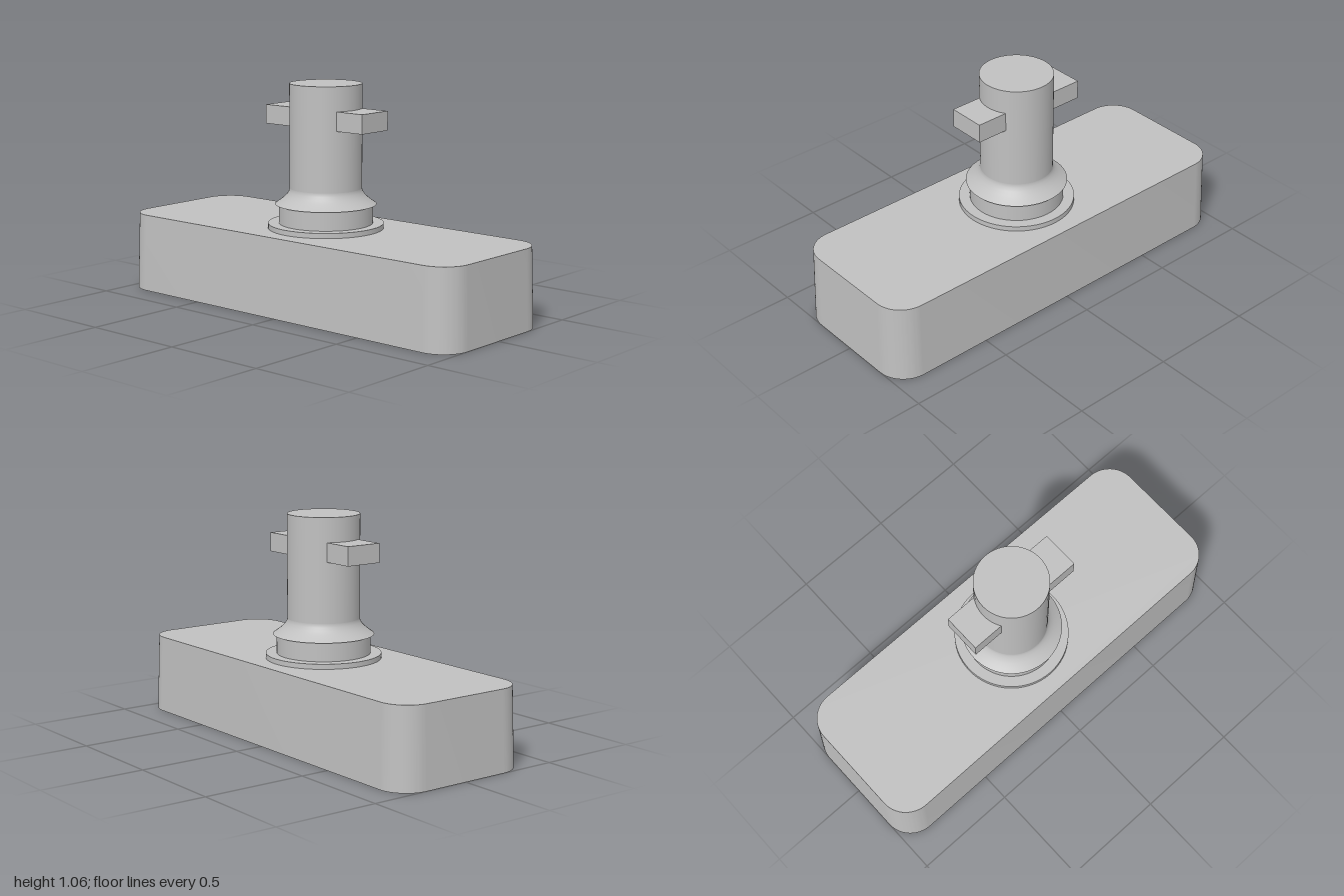
import * as THREE from 'three';
import { toCreasedNormals } from 'three/addons/utils/BufferGeometryUtils.js';

const HEIGHT = 0.376;

// Rounded rectangle extruded upwards, drawn in slightly towards the top
function taperedBlock(hx, hz, r) {
  const s = new THREE.Shape();
  s.moveTo(hx, -hz + r);
  s.lineTo(hx, hz - r);
  s.absarc(hx - r, hz - r, r, 0, Math.PI / 2);
  s.absarc(-hx + r, hz - r, r, Math.PI / 2, Math.PI);
  s.absarc(-hx + r, -hz + r, r, Math.PI, Math.PI * 1.5);
  s.absarc(hx - r, -hz + r, r, Math.PI * 1.5, Math.PI * 2);
  const geo = new THREE.ExtrudeGeometry(s, { depth: HEIGHT, bevelEnabled: false, curveSegments: 14 });
  geo.rotateX(-Math.PI / 2);
  const p = geo.attributes.position;
  for (let i = 0; i < p.count; i++) {
    const t = p.getY(i) / HEIGHT;
    p.setX(i, p.getX(i) * (1 - 0.01 * t / hx));
    p.setZ(i, p.getZ(i) * (1 - 0.01 * t / hz));
  }
  return toCreasedNormals(geo, 0.5);
}

export function createModel() {
  const group = new THREE.Group();
  const grey = new THREE.MeshStandardMaterial({ color: 0xc0c0c0 });
  grey.name = 'grey';

  const add = (name, geo) => {
    const mesh = new THREE.Mesh(geo, grey);
    mesh.name = name;
    group.add(mesh);
    return mesh;
  };
  const disc = (name, r, y0, y1) =>
    add(name, new THREE.CylinderGeometry(r, r, y1 - y0, 64)).position.y = (y0 + y1) / 2;
  const lathe = (name, pts) =>
    add(name, new THREE.LatheGeometry(pts.map(([x, y]) => new THREE.Vector2(x, y)), 64));

  // Base
  add('base', taperedBlock(1, 0.363, 0.14));

  // Stem, stacked from the base up
  disc('flange', 0.272, HEIGHT - 0.01, 0.4);
  disc('neck', 0.221, 0.39, 0.492);
  lathe('collarUnderside', [[0.15, 0.49], [0.238, 0.49]]);
  lathe('collar', [[0.238, 0.49], [0.218, 0.504], [0.199, 0.519], [0.184, 0.534], [0.174, 0.549], [0.1705, 0.56], [0.17, 0.566]]);
  disc('stem', 0.17, 0.48, 1.057);

  // Side lugs
  for (const side of [1, -1]) {
    const lug = add(side > 0 ? 'leftLug' : 'rightLug', new THREE.BoxGeometry(0.16, 0.09, 0.182));
    lug.position.set(side * 0.217, 0.897, 0);
  }
  return group;
}
